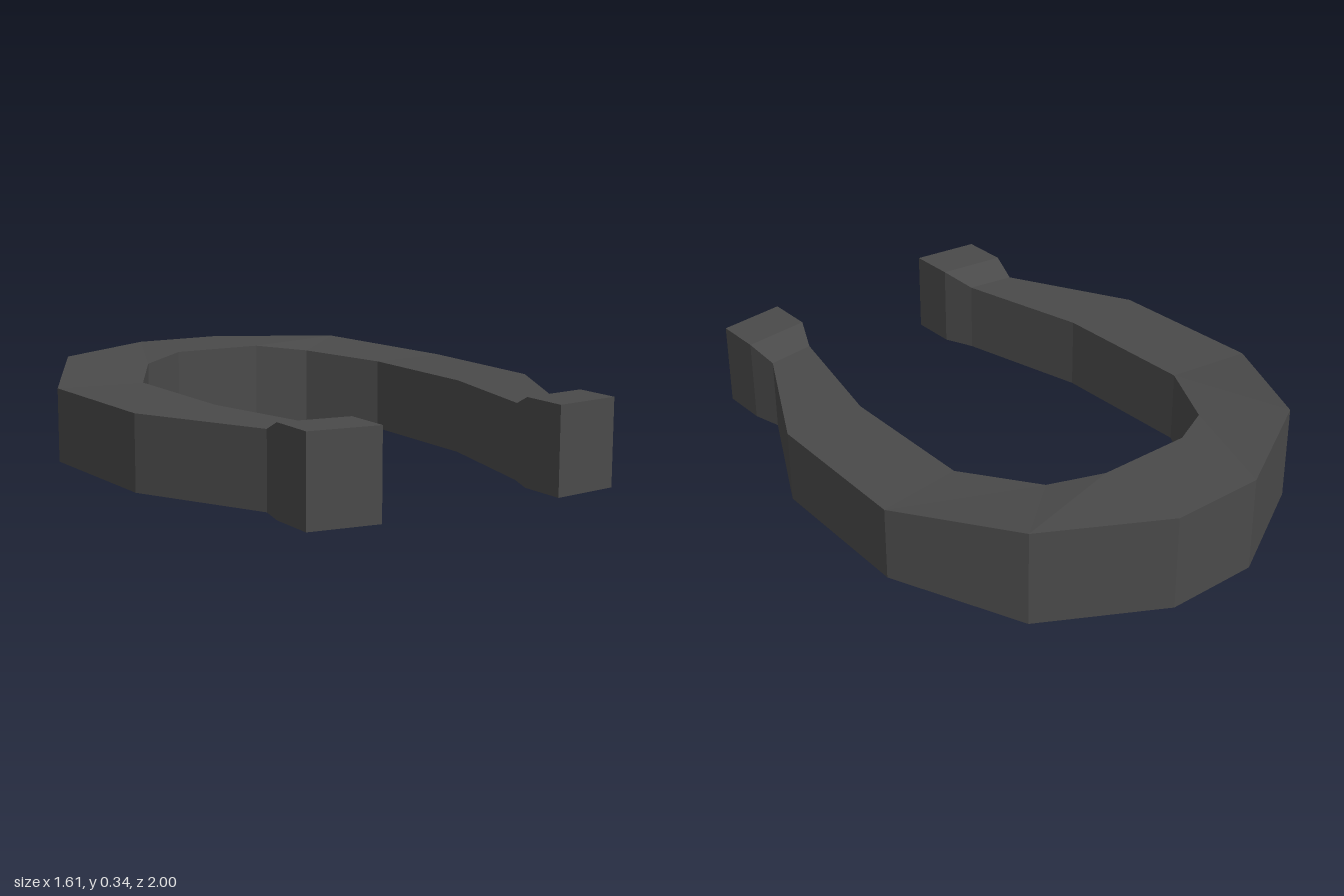
import * as THREE from 'three';

// Stations on the left arm, heel to toe:
// outer x, z, bottom, top, then inner x, z, bottom, top
const stations = [
  [0.58, 0.97, 0.04, 0.34, 0.335, 1.0, 0.04, 0.34],
  [0.58, 0.8, 0.04, 0.34, 0.335, 0.83, 0.04, 0.34],
  [0.555, 0.695, 0.04, 0.3, 0.38, 0.72, 0.04, 0.3],
  [0.785, 0.245, 0.04, 0.3, 0.49, 0.24, 0.04, 0.3],
  [0.805, -0.335, 0.04, 0.3, 0.497, -0.295, 0.04, 0.3],
  [0.58, -0.77, 0, 0.34, 0.343, -0.572, 0.02, 0.32],
  [0.17, -1.0, 0, 0.34, 0.17, -0.665, 0, 0.34],
];

// Four corners of a station; side is 1 for left, -1 for right
function section([ox, oz, ob, ot, ix, iz, ib, it], side) {
  return [
    [side * ox, ob, oz],
    [side * ox, ot, oz],
    [side * ix, it, iz],
    [side * ix, ib, iz],
  ];
}

// Skin a run of four-cornered sections and close both ends
function loft(sections) {
  const positions = [];
  const quad = (a, b, c, d) => positions.push(...a, ...b, ...c, ...a, ...c, ...d);
  for (let s = 0; s < sections.length - 1; s++) {
    const p = sections[s], q = sections[s + 1];
    for (let k = 0; k < 4; k++) {
      const n = (k + 1) % 4;
      quad(p[k], q[k], q[n], p[n]);
    }
  }
  quad(...sections[0]);
  quad(...[...sections[sections.length - 1]].reverse());
  const geometry = new THREE.BufferGeometry();
  geometry.setAttribute('position', new THREE.Float32BufferAttribute(positions, 3));
  geometry.computeVertexNormals();
  return geometry;
}

export function createModel() {
  const group = new THREE.Group();
  group.name = 'horseshoe';

  const iron = new THREE.MeshStandardMaterial({ color: 0x4a4a4a, flatShading: true });
  iron.name = 'dark iron';

  // Left heel round the toe to the right heel
  const left = stations.map((s) => section(s, 1));
  const right = stations.map((s) => section(s, -1)).reverse();
  const shoe = new THREE.Mesh(loft([...left, ...right]), iron);
  shoe.name = 'shoe';
  group.add(shoe);

  return group;
}
